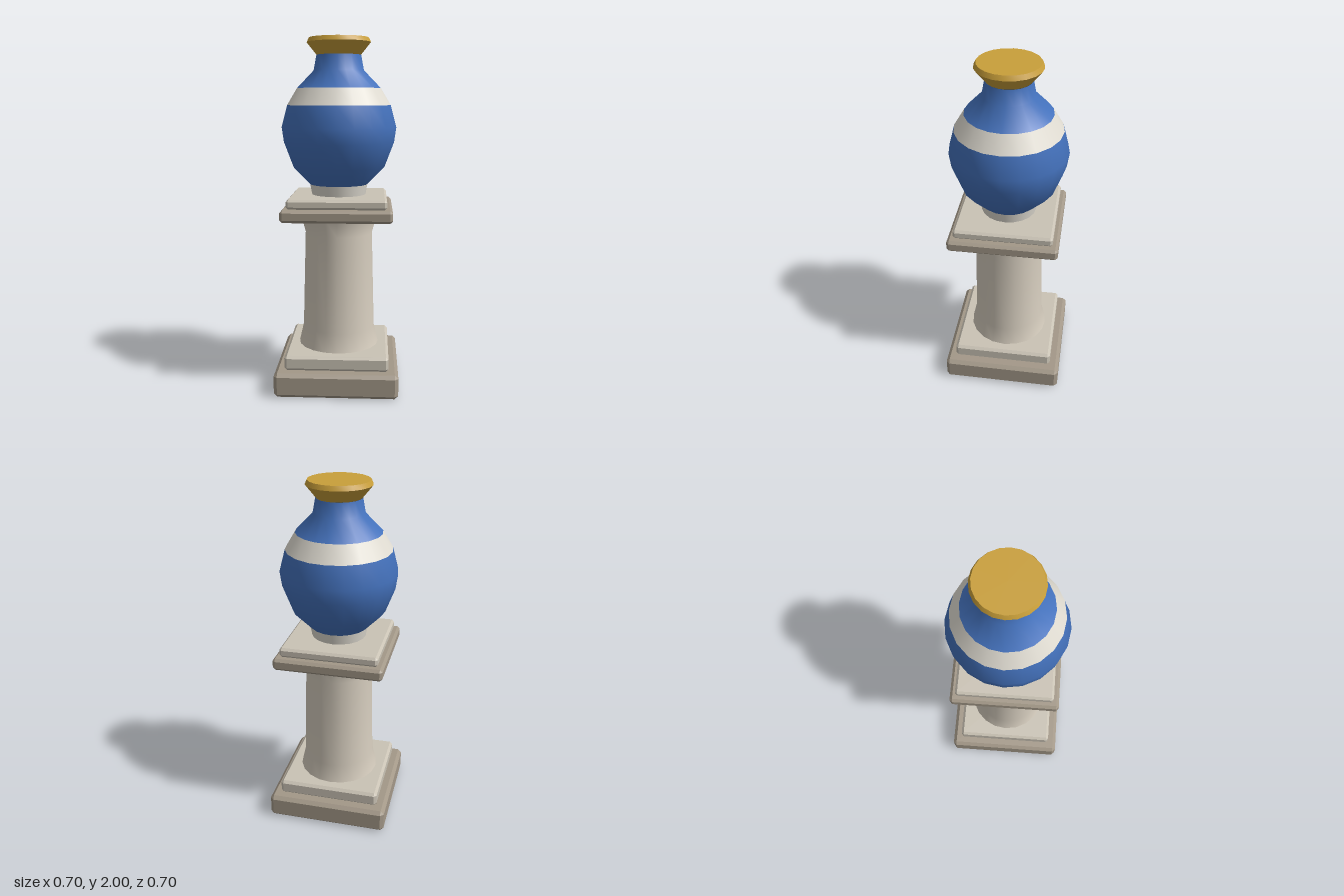
import * as THREE from 'three';
import { ConvexGeometry } from 'three/addons/geometries/ConvexGeometry.js';
import { toCreasedNormals } from 'three/addons/utils/BufferGeometryUtils.js';

const SIDES = 20;
const material = (color, side = THREE.FrontSide) => new THREE.MeshStandardMaterial({ color, side });

// Square slab with every edge and corner chamfered by c
function slab(name, half, y0, y1, c, mat) {
  const mid = (y0 + y1) / 2, h = (y1 - y0) / 2;
  const points = [];
  for (const sx of [-1, 1]) for (const sy of [-1, 1]) for (const sz of [-1, 1]) {
    points.push(
      new THREE.Vector3(sx * half, sy * (h - c), sz * (half - c)),
      new THREE.Vector3(sx * (half - c), sy * h, sz * (half - c)),
      new THREE.Vector3(sx * (half - c), sy * (h - c), sz * half));
  }
  const mesh = new THREE.Mesh(new ConvexGeometry(points), mat);
  mesh.name = name;
  mesh.position.y = mid;
  return mesh;
}

// Turned part from [radius, height] pairs, listed bottom to top
function turned(name, profile, mat, crease) {
  let geometry = new THREE.LatheGeometry(profile.map(([r, y]) => new THREE.Vector2(r, y)), SIDES);
  if (crease) geometry = toCreasedNormals(geometry, crease);
  const mesh = new THREE.Mesh(geometry, mat);
  mesh.name = name;
  return mesh;
}

export function createModel() {
  const model = new THREE.Group();
  model.name = 'vaseOnPedestal';
  const darkStone = material(0xa39888);
  const paleStone = material(0xcac3b5);
  const shaftStone = material(0xd8cfc0);
  const blue = material(0x4472bd, THREE.DoubleSide);
  const white = material(0xe0dcd2, THREE.DoubleSide);
  const gold = material(0xc99f3a, THREE.DoubleSide);

  // Pedestal: stepped base, flared shaft, stepped cap
  const pedestal = new THREE.Group();
  pedestal.name = 'pedestal';
  pedestal.add(
    slab('plinth', 0.35, 0, 0.14, 0.02, darkStone),
    slab('baseStep', 0.295, 0.14, 0.225, 0.015, paleStone),
    turned('shaft', [[0.235, 0.22], [0.21, 0.33], [0.195, 0.89], [0.225, 1.0]], shaftStone),
    slab('capLower', 0.31, 0.99, 1.06, 0.015, darkStone),
    slab('capUpper', 0.278, 1.06, 1.115, 0.013, paleStone));

  // Vase: foot, body with a white band, neck, gold rim closed on top
  const vase = new THREE.Group();
  vase.name = 'vase';
  vase.add(
    turned('foot', [[0.155, 1.11], [0.167, 1.175]], white),
    turned('body', [[0, 1.172], [0.165, 1.172], [0.265, 1.275], [0.318, 1.415], [0.33, 1.5], [0.297, 1.625]], blue, 0.8),
    turned('band', [[0.297, 1.625], [0.24, 1.72]], white),
    turned('shoulderAndNeck', [[0.24, 1.72], [0.143, 1.82], [0.127, 1.905]], blue, 0.8),
    turned('rim', [[0, 1.905], [0.125, 1.905], [0.182, 1.975], [0.17, 2], [0, 2]], gold, 0.5));

  model.add(pedestal, vase);
  return model;
}
